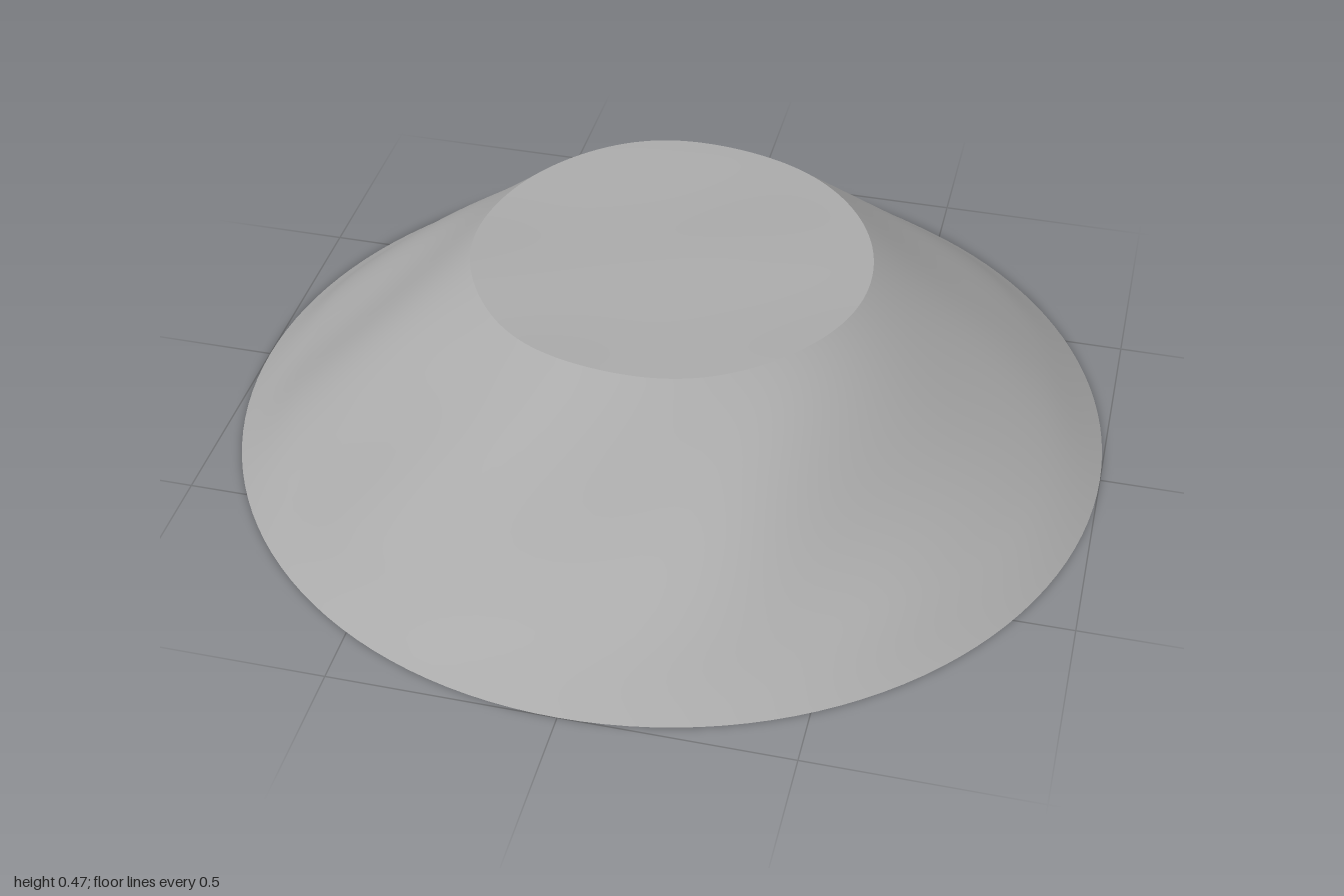
import * as THREE from 'three';

const BASE_R = 1, TOP_R = 0.45, HEIGHT = 0.467, SEGMENTS = 128;

// Gentle diagonal ripples worn into the ground, fading out at the base
function ripple(x, z) {
  return 0.45 * Math.sin(9 * (x + z) + 2 * Math.sin(3 * x - 2 * z))
    + 0.35 * Math.sin(13 * z + 5 * x + 1.3)
    + 0.3 * Math.sin(7 * x - 4 * z + 0.6);
}

function groundHeight(r, x, z) {
  const t = THREE.MathUtils.clamp((BASE_R - r) / (BASE_R - TOP_R), 0, 1);
  const amount = r > TOP_R ? 0.007 + 0.011 * Math.sin(Math.PI * t) : 0.007;
  const fade = THREE.MathUtils.smoothstep(t, 0, 0.25);
  return HEIGHT * t + amount * fade * ripple(x, z);
}

// Closed rings of terrain between two radii, with smooth normals
function terrainRings(inner, outer, rings) {
  const positions = [], index = [];
  for (let i = 0; i <= rings; i++) {
    const r = inner + (outer - inner) * i / rings;
    for (let j = 0; j < SEGMENTS; j++) {
      const a = j / SEGMENTS * Math.PI * 2;
      const x = r * Math.cos(a), z = r * Math.sin(a);
      positions.push(x, groundHeight(r, x, z), z);
      if (i === rings) continue;
      const p = i * SEGMENTS + j, q = i * SEGMENTS + (j + 1) % SEGMENTS;
      index.push(p, q, p + SEGMENTS, q, q + SEGMENTS, p + SEGMENTS);
    }
  }
  const geometry = new THREE.BufferGeometry();
  geometry.setAttribute('position', new THREE.Float32BufferAttribute(positions, 3));
  geometry.setIndex(index);
  geometry.computeVertexNormals();
  return geometry;
}

export function createModel() {
  const group = new THREE.Group();
  group.name = 'flatToppedHill';
  const stone = new THREE.MeshStandardMaterial({ color: 0xaaaaaa });
  stone.name = 'grey stone';

  const add = (name, geometry) => {
    const mesh = new THREE.Mesh(geometry, stone);
    mesh.name = name;
    group.add(mesh);
    return mesh;
  };

  // Sloping sides and the level summit meet at a crisp rim
  add('slope', terrainRings(TOP_R, BASE_R, 40));
  add('summit', terrainRings(0.0005, TOP_R, 30));

  // Flat underside
  add('underside', new THREE.CircleGeometry(BASE_R, SEGMENTS)).rotation.x = Math.PI / 2;

  return group;
}
